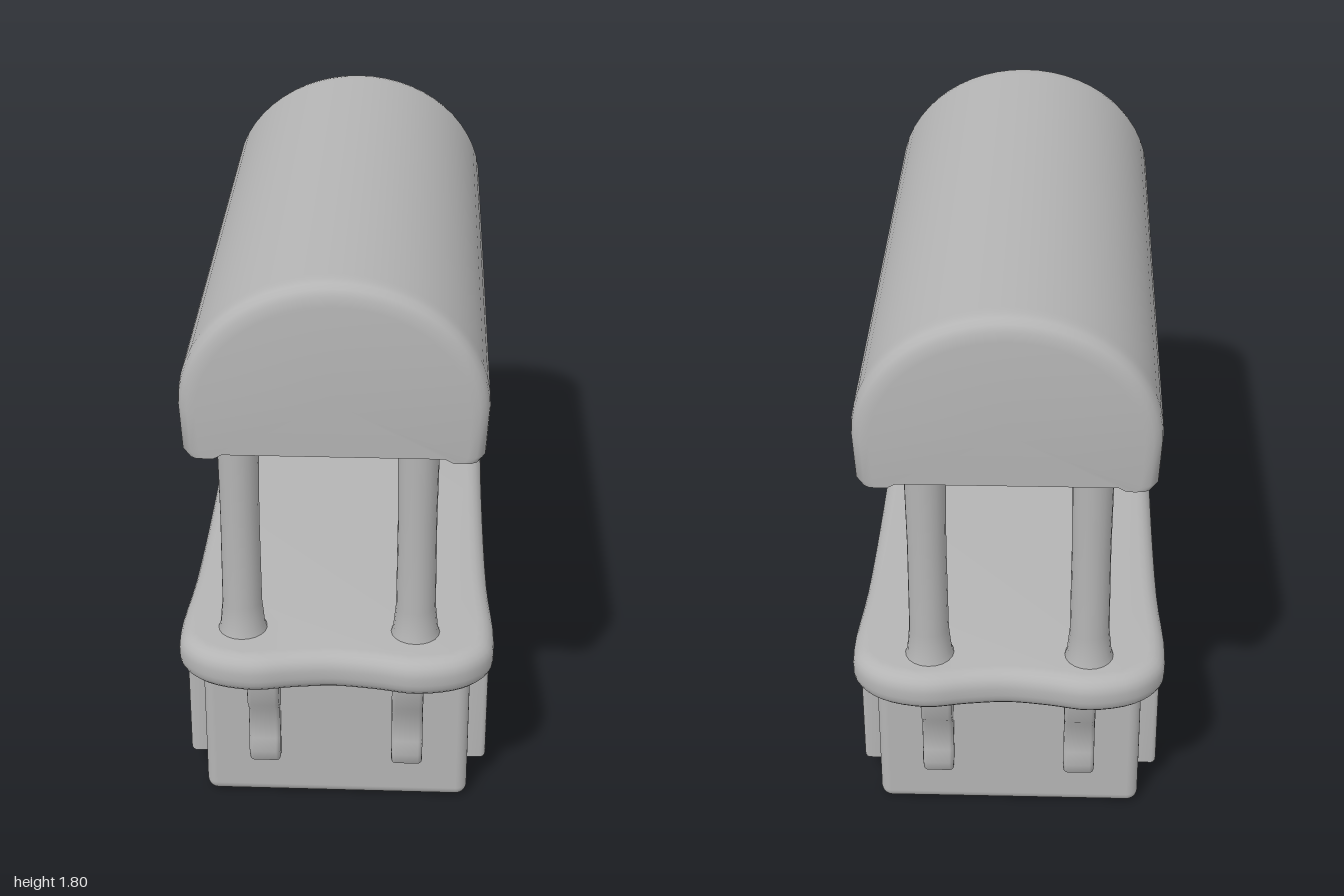
import * as THREE from 'three';
import { mergeVertices, toCreasedNormals } from 'three/addons/utils/BufferGeometryUtils.js';
import { RoundedBoxGeometry } from 'three/addons/geometries/RoundedBoxGeometry.js';

const clay = new THREE.MeshStandardMaterial({ color: 0xb4b4b4 });
clay.name = 'plain grey';

function add(parent, name, geometry, x = 0, y = 0, z = 0) {
  const mesh = new THREE.Mesh(geometry, clay);
  mesh.name = name;
  mesh.position.set(x, y, z);
  parent.add(mesh);
  return mesh;
}

// Smooth the bevels while keeping hard corners
function soften(geometry, crease = 0.8) {
  geometry.deleteAttribute('uv');
  geometry.deleteAttribute('normal');
  return toCreasedNormals(mergeVertices(geometry, 1e-4), crease);
}

function rectangle(path, w, h) {
  path.moveTo(-w / 2, -h / 2);
  path.lineTo(w / 2, -h / 2);
  path.lineTo(w / 2, h / 2);
  path.lineTo(-w / 2, h / 2);
  path.closePath();
  return path;
}

// Counter slab with softly lobed ends and a rounded rim
function counterGeometry() {
  const quarter = [[0.46, 0], [0.465, 0.5], [0.48, 0.8], [0.465, 0.89], [0.39, 0.965], [0.25, 1], [0.12, 0.98], [0, 0.968]];
  const back = quarter.slice(0, -1).reverse();
  const half = [...quarter, ...back.map(([x, y]) => [-x, y])];
  const loop = [...half, ...half.slice(1, -1).reverse().map(([x, y]) => [x, -y])];
  const curve = new THREE.CatmullRomCurve3(loop.map(([x, y]) => new THREE.Vector3(x, y, 0)), true);
  const outline = curve.getPoints(112).slice(0, -1).map(p => new THREE.Vector2(p.x, p.y));
  const geometry = new THREE.ExtrudeGeometry(new THREE.Shape(outline), {
    depth: 0.025, bevelThickness: 0.05, bevelSize: 0.05, bevelOffset: -0.05, bevelSegments: 5,
  });
  geometry.translate(0, 0, -0.0125);
  geometry.rotateX(Math.PI / 2);
  return soften(geometry);
}

// Barrel canopy: arched sections along z, with a scalloped skirt and rounded ends
function canopyGeometry() {
  const lobeLength = 0.305, arcSteps = 28, baseY = 1.28;
  const skirtBottom = z => {
    const t = Math.abs(z) / lobeLength;
    const lobe = t > 2.5 ? 1 : Math.pow(Math.abs(Math.sin(Math.PI * t)), 0.65);
    return 1.325 - 0.06 * lobe;
  };
  const section = (z, scale, ceiling) => {
    const bottom = skirtBottom(z);
    const pts = [[0.415, bottom], [0.43, bottom + 0.02]];
    for (let i = 0; i <= arcSteps; i++) {
      const a = Math.PI * i / arcSteps;
      pts.push([0.438 * Math.cos(a), 1.425 + 0.377 * Math.sin(a)]);
    }
    pts.push([-0.43, bottom + 0.02], [-0.415, bottom], [-0.385, bottom], [-0.37, ceiling], [0.37, ceiling], [0.385, bottom]);
    return pts.map(([x, y]) => [x * scale, baseY + (y - baseY) * scale, z]);
  };
  const ends = [[0.94, 0.992], [0.957, 0.97], [0.967, 0.935], [0.971, 0.88]];
  const rings = ends.map(([z, s]) => section(-z, s, 1.28)).reverse();
  for (let i = -30; i <= 30; i++) {
    rings.push(section(i * lobeLength / 10, 1, Math.abs(i) > 29 ? 1.28 : 1.325));
  }
  ends.forEach(([z, s]) => rings.push(section(z, s, 1.28)));

  const n = rings[0].length, index = [];
  const positions = rings.flat(2);
  for (let i = 0; i < rings.length - 1; i++) {
    for (let j = 0; j < n; j++) {
      const a = i * n + j, b = i * n + (j + 1) % n;
      index.push(a, b, a + n, b, b + n, a + n);
    }
  }
  const first = rings.length * n, last = first - n;
  positions.push(0, 1.45, -0.974, 0, 1.45, 0.974);
  for (let j = 0; j < n; j++) {
    const k = (j + 1) % n;
    index.push(first, k, j, first + 1, last + j, last + k);
  }
  const geometry = new THREE.BufferGeometry();
  geometry.setAttribute('position', new THREE.Float32BufferAttribute(positions, 3));
  geometry.setIndex(index);
  return toCreasedNormals(geometry, 0.8);
}

// Raised drawer frame, facing +z before it is turned
function frameGeometry() {
  const shape = rectangle(new THREE.Shape(), 0.33, 0.3);
  shape.holes.push(rectangle(new THREE.Path(), 0.3, 0.25));
  return soften(new THREE.ExtrudeGeometry(shape, {
    depth: 0.05, bevelThickness: 0.015, bevelSize: 0.015, bevelSegments: 3,
  }));
}

// Bracket with a thick head and a thinner tail, facing +z
function bracketGeometry() {
  const profile = [[-0.03, 0.165], [0.02, 0.165], [0.036, 0.2], [0.025, 0.24], [0.025, 0.35], [0.06, 0.395], [0.065, 0.49], [-0.03, 0.49]];
  const geometry = new THREE.ExtrudeGeometry(new THREE.Shape(profile.map(p => new THREE.Vector2(...p))), {
    depth: 0.07, bevelThickness: 0.013, bevelSize: 0.013, bevelSegments: 3,
  });
  geometry.translate(0, 0, -0.035);
  geometry.rotateY(-Math.PI / 2);
  return soften(geometry, 0.9);
}

export function createModel() {
  const model = new THREE.Group();
  model.name = 'marketStall';

  // Base: two pedestals joined by a panel on the right side
  const frame = frameGeometry(), bracket = bracketGeometry();
  for (const end of [1, -1]) {
    const pedestal = new THREE.Group();
    pedestal.name = end > 0 ? 'frontPedestal' : 'backPedestal';
    model.add(pedestal);
    add(pedestal, 'pedestalBox', new RoundedBoxGeometry(0.82, 0.5, 0.56, 4, 0.035), 0, 0.25, end * 0.567);
    for (const side of [1, -1]) {
      add(pedestal, 'drawerFrame', frame, side * 0.405, 0.245, end * 0.56).rotation.y = side * Math.PI / 2;
      add(pedestal, 'drawerFace', new RoundedBoxGeometry(0.06, 0.29, 0.32, 2, 0.015), side * 0.418, 0.245, end * 0.56);
      add(pedestal, 'bracket', bracket, side * 0.22, 0, end * 0.85).rotation.y = end > 0 ? 0 : Math.PI;
    }
  }
  add(model, 'joiningPanel', new THREE.BoxGeometry(0.31, 0.46, 0.62), -0.225, 0.26, 0);

  // Counter
  add(model, 'counter', counterGeometry(), 0, 0.54, 0);

  // Posts, slightly flared at the foot
  const postProfile = [[0.085, 0.57], [0.068, 0.62], [0.06, 0.7], [0.058, 1], [0.062, 1.33]];
  const post = new THREE.LatheGeometry(postProfile.map(p => new THREE.Vector2(...p)), 20);
  for (const [x, z] of [[-0.285, 0.81], [0.24, 0.815], [-0.245, -0.855], [0.24, -0.855]]) {
    add(model, z > 0 ? 'frontPost' : 'backPost', post, x, 0, z);
  }

  // Canopy
  add(model, 'canopy', canopyGeometry());
  return model;
}
